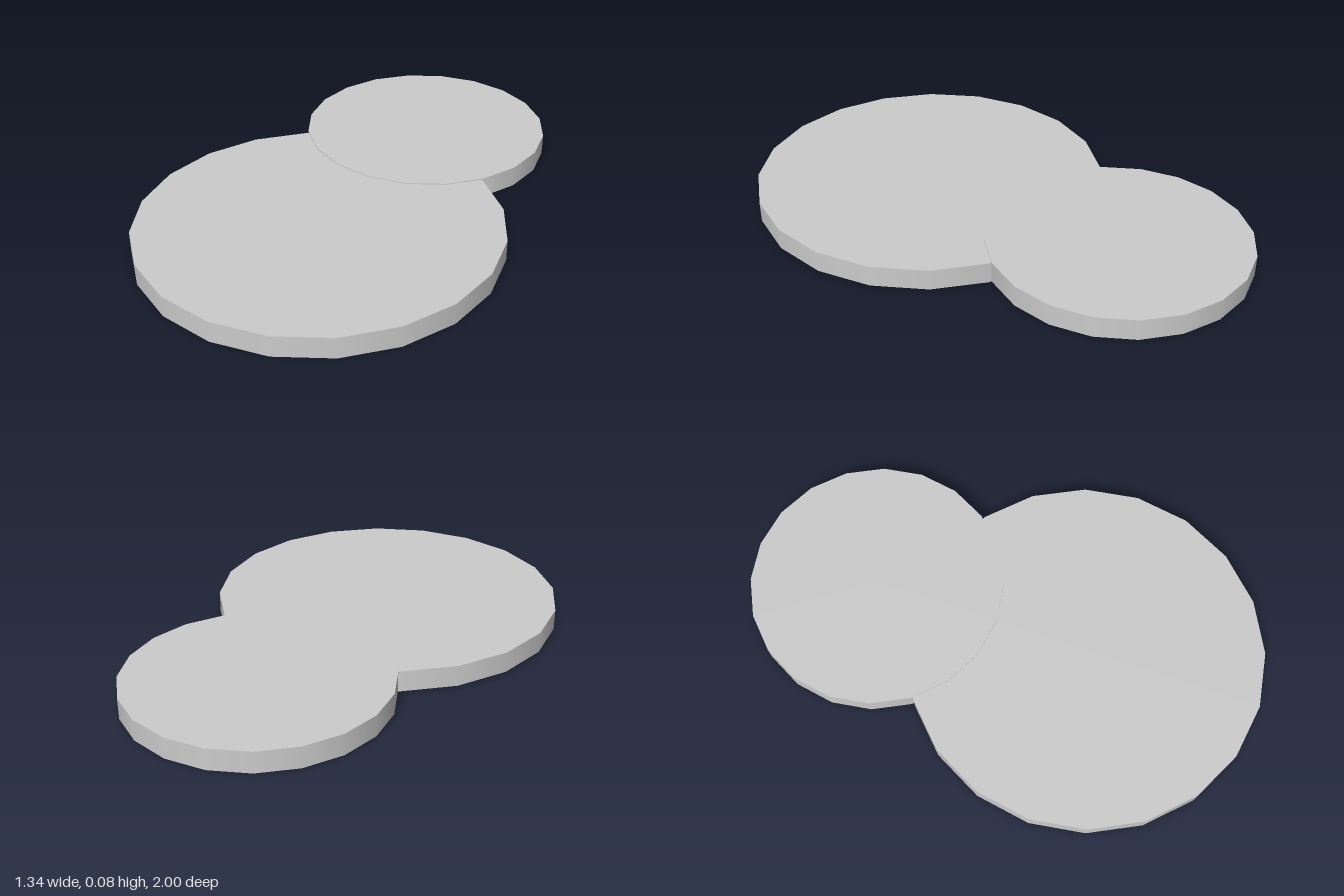
import * as THREE from 'three';

const material = new THREE.MeshStandardMaterial({ color: 0xcccccc });

// Flat 20-sided disc with smooth rim, standing on the given base height
function disc(name, radius, height, baseY, z) {
  const mesh = new THREE.Mesh(new THREE.CylinderGeometry(radius, radius, height, 20), material);
  mesh.name = name;
  mesh.position.set(0, baseY + height / 2, z);
  return mesh;
}

export function createModel() {
  const group = new THREE.Group();
  group.name = 'overlappingDiscs';
  // The small disc sits a hair higher where the two overlap
  group.add(
    disc('largeDisc', 0.672, 0.08, 0, 0.328),
    disc('smallDisc', 0.486, 0.08, 0.004, -0.514),
  );
  return group;
}
